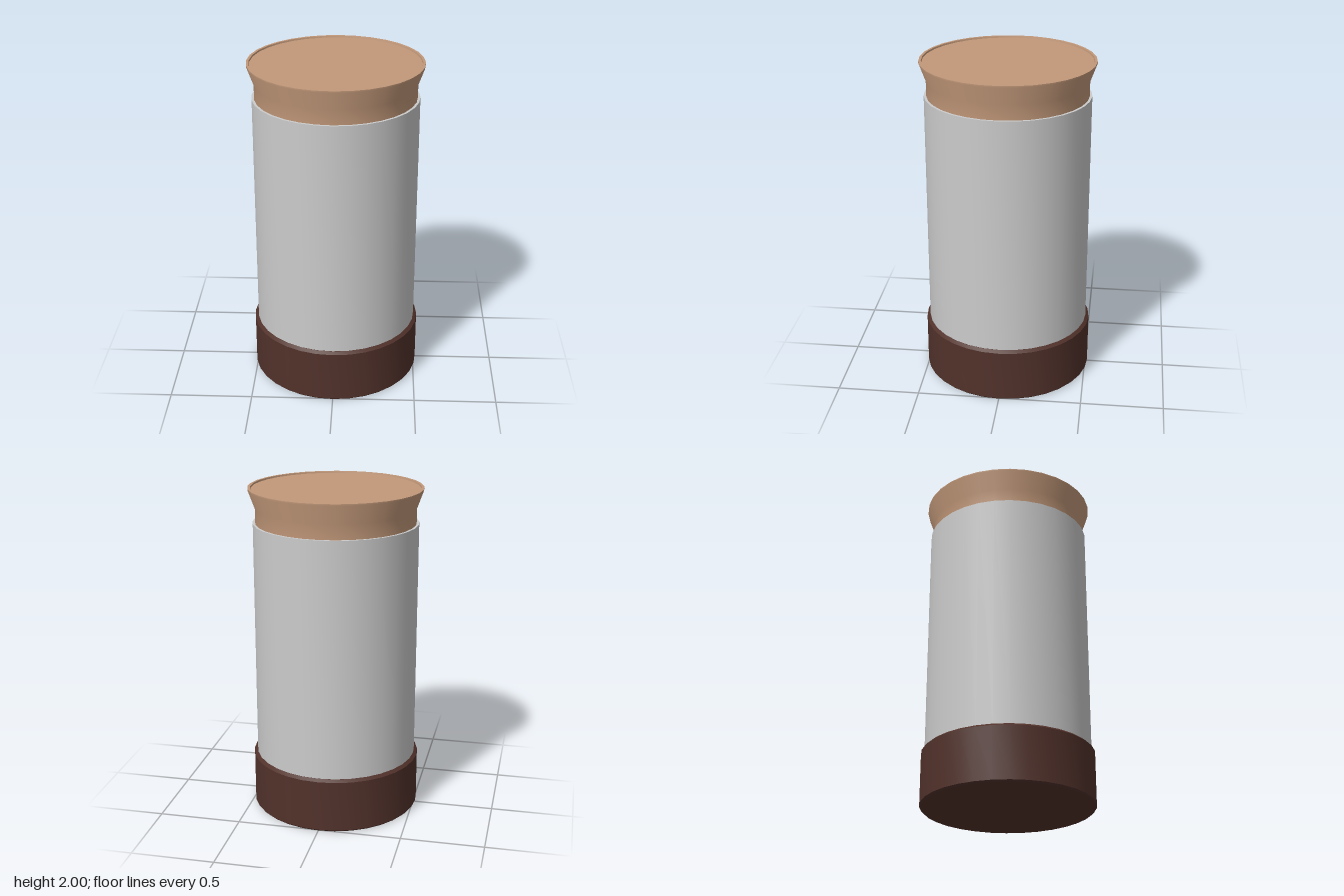
import * as THREE from 'three';
import { toCreasedNormals } from 'three/addons/utils/BufferGeometryUtils.js';

const SIDES = 32;

// Turned part: profile of [radius, height] from the bottom centre, up the outside, to the top centre
function turned(name, color, profile) {
  const points = profile.map(([r, y]) => new THREE.Vector2(r, y));
  const geometry = toCreasedNormals(new THREE.LatheGeometry(points, SIDES), 0.45);
  const mesh = new THREE.Mesh(geometry, new THREE.MeshStandardMaterial({ color }));
  mesh.name = name;
  return mesh;
}

export function createModel() {
  const model = new THREE.Group();
  model.name = 'canister';

  // Dark base cup with bevelled edges
  model.add(turned('base', 0x52322b, [
    [0, 0], [0.505, 0], [0.515, 0.01], [0.515, 0.325], [0.497, 0.34], [0, 0.34],
  ]));

  // Plain cylindrical body
  model.add(turned('body', 0xcccccc, [
    [0, 0.3], [0.495, 0.3], [0.495, 1.79], [0, 1.79],
  ]));

  // Flared stopper with a thin rim around a slightly sunken top
  model.add(turned('stopper', 0xc3997a, [
    [0, 1.75], [0.48, 1.75], [0.48, 1.88], [0.52, 1.99], [0.52, 2],
    [0.505, 2], [0.503, 1.99], [0, 1.99],
  ]));

  return model;
}
